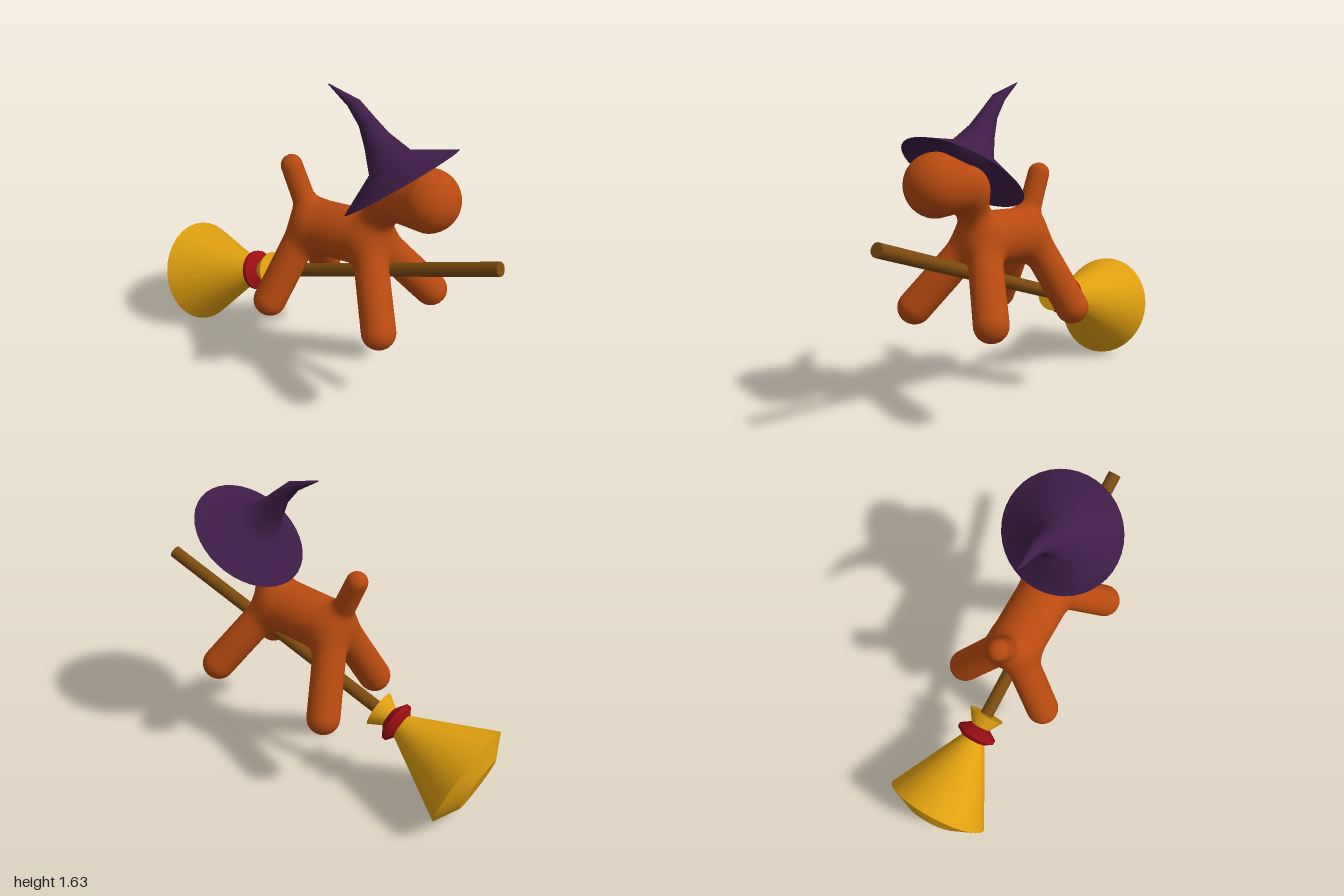
import * as THREE from 'three';
import { toCreasedNormals } from 'three/addons/utils/BufferGeometryUtils.js';

const paint = (color, side = THREE.FrontSide) => new THREE.MeshStandardMaterial({ color, side });

function addMesh(parent, name, geometry, material) {
  const mesh = new THREE.Mesh(geometry, material);
  mesh.name = name;
  parent.add(mesh);
  return mesh;
}

// Limbs as tapered capsules: start, start radius, end, end radius
const V = (x, y, z = 0) => new THREE.Vector3(x, y, z);
const limbs = [
  [V(-0.03, 0.86), 0.14, V(0.24, 0.89), 0.14],   // torso
  [V(-0.1, 0.9), 0.06, V(-0.215, 1.157), 0.056], // tail
  [V(0.29, 0.95), 0.08, V(0.37, 1.15), 0.085],   // neck
  [V(0.38, 1.165), 0.11, V(0.59, 1.21), 0.153],  // head
];
for (const s of [-1, 1]) {
  limbs.push([V(-0.09, 0.87, 0.03 * s), 0.085, V(-0.185, 0.48, 0.24 * s), 0.086]); // rear legs
  limbs.push([V(0.285, 0.89, 0.03 * s), 0.085, V(0.495, 0.56, 0.24 * s), 0.086]);  // front legs
}

// Distance to the limbs, blended softly where they join
const tmp = V(0, 0), axis = V(0, 0);
function distance(p) {
  let d = 1e3;
  const k = 0.06;
  for (const [a, ra, b, rb] of limbs) {
    axis.subVectors(b, a);
    tmp.subVectors(p, a);
    const t = THREE.MathUtils.clamp(tmp.dot(axis) / axis.lengthSq(), 0, 1);
    const e = tmp.addScaledVector(axis, -t).length() - (ra + (rb - ra) * t);
    const h = Math.max(k - Math.abs(d - e), 0) / k;
    d = Math.min(d, e) - h * h * k / 4;
  }
  return d;
}

function gradient(p) {
  const e = 0.001, g = V(0, 0);
  for (const c of ['x', 'y', 'z']) {
    const q = p.clone();
    q[c] += e;
    g[c] = distance(q);
    q[c] -= 2 * e;
    g[c] = (g[c] - distance(q)) / (2 * e);
  }
  return g;
}

// One smooth skin over all limbs, meshed on a regular grid
function skinGeometry() {
  const step = 0.02, min = V(-0.35, 0.33, -0.4), n = [59, 56, 41];
  const stride = [1, n[0], n[0] * n[1]];
  const at = (i, j, k, o = 0) => V(min.x + (i + o) * step, min.y + (j + o) * step, min.z + (k + o) * step);
  const field = new Float32Array(n[0] * n[1] * n[2]);
  for (let k = 0; k < n[2]; k++) for (let j = 0; j < n[1]; j++) for (let i = 0; i < n[0]; i++)
    field[i + j * stride[1] + k * stride[2]] = distance(at(i, j, k));

  const positions = [], normals = [], index = [], known = new Map();
  // Cell centre pulled onto the skin
  const vertex = (cell) => {
    if (!known.has(cell)) {
      const p = at(cell % n[0], Math.floor(cell / n[0]) % n[1], Math.floor(cell / stride[2]), 0.5);
      for (let r = 0; r < 3; r++) {
        const g = gradient(p);
        p.addScaledVector(g, -distance(p) / Math.max(g.lengthSq(), 0.3));
      }
      known.set(cell, positions.length / 3);
      positions.push(p.x, p.y, p.z);
      normals.push(...gradient(p).normalize().toArray());
    }
    return known.get(cell);
  };
  // A quad across each grid edge that crosses the skin
  for (let k = 1; k < n[2] - 1; k++) for (let j = 1; j < n[1] - 1; j++) for (let i = 1; i < n[0] - 1; i++) {
    const c = i + j * stride[1] + k * stride[2];
    for (let a = 0; a < 3; a++) {
      const inside = field[c] < 0;
      if (inside === field[c + stride[a]] < 0) continue;
      const sb = stride[(a + 1) % 3], sc = stride[(a + 2) % 3];
      const q = [c, c - sb, c - sb - sc, c - sc].map(vertex);
      if (!inside) q.reverse();
      index.push(q[0], q[1], q[2], q[0], q[2], q[3]);
    }
  }
  const geometry = new THREE.BufferGeometry();
  geometry.setAttribute('position', new THREE.Float32BufferAttribute(positions, 3));
  geometry.setAttribute('normal', new THREE.Float32BufferAttribute(normals, 3));
  geometry.setIndex(index);
  return geometry;
}

// Hat from round sections, each given by its lower and upper point in the xy plane
function hatGeometry() {
  const sections = [
    [0.185, 1.05, 0.67, 1.44], [0.272, 1.255, 0.445, 1.405], [0.232, 1.375, 0.332, 1.468],
    [0.19, 1.475, 0.257, 1.53], [0.12, 1.56, 0.175, 1.595], [0, 1.635, 0.002, 1.64],
  ];
  const sides = 40, positions = [], index = [];
  sections.forEach(([x0, y0, x1, y1], i) => {
    const r = Math.hypot(x1 - x0, y1 - y0) / 2;
    for (let j = 0; j < sides; j++) {
      const t = j / sides * Math.PI * 2, u = (1 + Math.cos(t)) / 2;
      positions.push(x0 + (x1 - x0) * u, y0 + (y1 - y0) * u, r * Math.sin(t));
      if (i === sections.length - 1) continue;
      const a = i * sides + j, b = i * sides + (j + 1) % sides;
      index.push(a, a + sides, b, b, a + sides, b + sides);
    }
  });
  const geometry = new THREE.BufferGeometry();
  geometry.setAttribute('position', new THREE.Float32BufferAttribute(positions, 3));
  geometry.setIndex(index);
  geometry.computeVertexNormals();
  return geometry;
}

const turned = (profile) => toCreasedNormals(
  new THREE.LatheGeometry(profile.map(([r, y]) => new THREE.Vector2(r, y)), 32), 0.45);

// Broom built upright from the bristle rim, then laid along its slope
function createBroom() {
  const broom = new THREE.Group();
  broom.name = 'broom';
  addMesh(broom, 'bristles', turned([
    [0, -0.066], [0.149, -0.066], [0.28, 0], [0.067, 0.41], [0.045, 0.475], [0.098, 0.56], [0, 0.56],
  ]), paint(0xe0a010));
  addMesh(broom, 'binding', turned([
    [0.03, 0.41], [0.07, 0.41], [0.107, 0.435], [0.107, 0.455], [0.052, 0.492], [0.03, 0.492],
  ]), paint(0x9c0e14));
  addMesh(broom, 'handle', new THREE.CylinderGeometry(0.035, 0.035, 1.5, 12), paint(0x7a4a10)).position.y = 1.253;
  broom.position.set(-0.8875, 0.2725, 0);
  broom.rotation.z = Math.atan2(0.7125, 1.8725) - Math.PI / 2;
  return broom;
}

export function createModel() {
  const model = new THREE.Group();
  model.name = 'dogOnBroom';
  addMesh(model, 'dogBody', skinGeometry(), paint(0xb84a10));
  addMesh(model, 'pointedHat', hatGeometry(), paint(0x3f1d48, THREE.DoubleSide)).position.z = -0.02;
  model.add(createBroom());
  return model;
}
